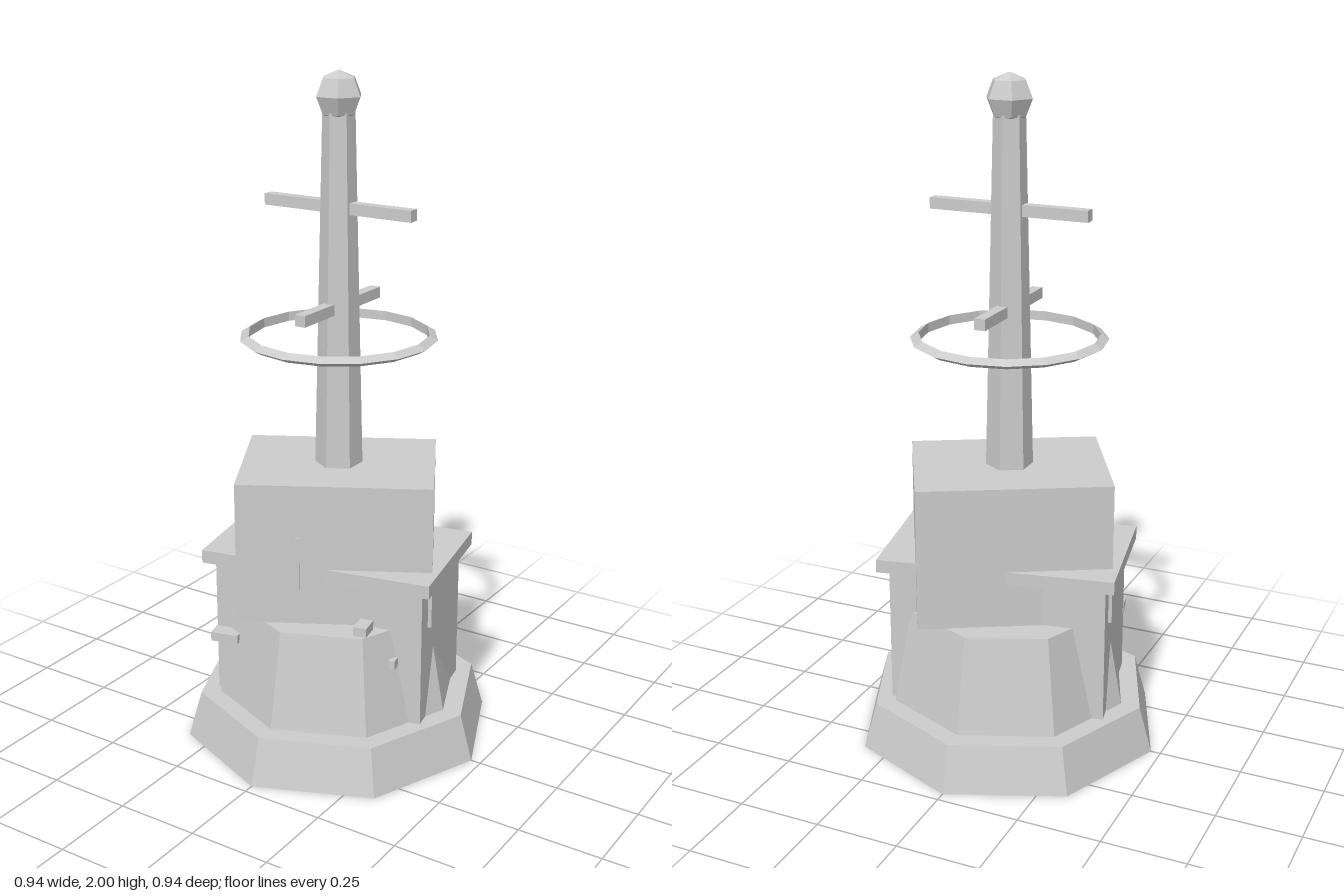
import * as THREE from 'three';

export function createModel() {
  const model = new THREE.Group();
  model.name = 'tower';
  const stone = new THREE.MeshStandardMaterial({ color: 0xcccccc });
  stone.name = 'paleGrey';
  stone.flatShading = true;

  const add = (name, geometry, x, y, z, turn = 0) => {
    const mesh = new THREE.Mesh(geometry, stone);
    mesh.name = name;
    mesh.position.set(x, y, z);
    mesh.rotation.y = turn;
    model.add(mesh);
    return mesh;
  };
  const box = (name, w, h, d, x, y, z, turn) =>
    add(name, new THREE.BoxGeometry(w, h, d), x, y, z, turn);
  // Tapered prism standing between two heights
  const prism = (name, rTop, rBottom, y0, y1, sides) =>
    add(name, new THREE.CylinderGeometry(rTop, rBottom, y1 - y0, sides), 0, (y0 + y1) / 2, 0);

  // Octagonal foundation
  prism('plinth', 0.43, 0.47, 0, 0.14, 8);
  prism('lowerTier', 0.315, 0.37, 0.14, 0.43, 8);

  // Twisted stack of blocks
  box('lowerBlock', 0.65, 0.42, 0.36, 0, 0.35, 0, 0.2);
  box('ledge', 0.71, 0.04, 0.424, 0, 0.583, 0, 0.2);
  box('upperBlock', 0.57, 0.43, 0.427, 0, 0.645, 0, 0.5);

  // Narrow strip on the front of the upper block
  box('windowSlit', 0.012, 0.21, 0.012, 0.011, 0.595, 0.238, 0.5);

  // Small blocks jutting from the lower tier
  box('leftCornerStub', 0.04, 0.028, 0.06, 0.202, 0.443, 0.185, 0.2);
  box('rightCornerStub', 0.085, 0.028, 0.06, -0.238, 0.333, 0.25, 0.25);
  box('sideStub', 0.018, 0.028, 0.05, 0.277, 0.333, 0.133, 0.2);

  // Mast with knob
  prism('mast', 0.046, 0.07, 0.86, 1.89, 6);
  add('knob', new THREE.SphereGeometry(0.07, 6, 4), 0, 1.93, 0);

  // Crossbars
  box('upperCrossbar', 0.486, 0.033, 0.033, 0, 1.622, 0);
  box('lowerCrossbar', 0.033, 0.033, 0.4, 0, 1.335, 0);

  // Floating ring with triangular section
  const ring = add('ring', new THREE.TorusGeometry(0.2715, 0.0165, 3, 16), 0, 1.246, 0);
  ring.rotation.x = Math.PI / 2;

  return model;
}
